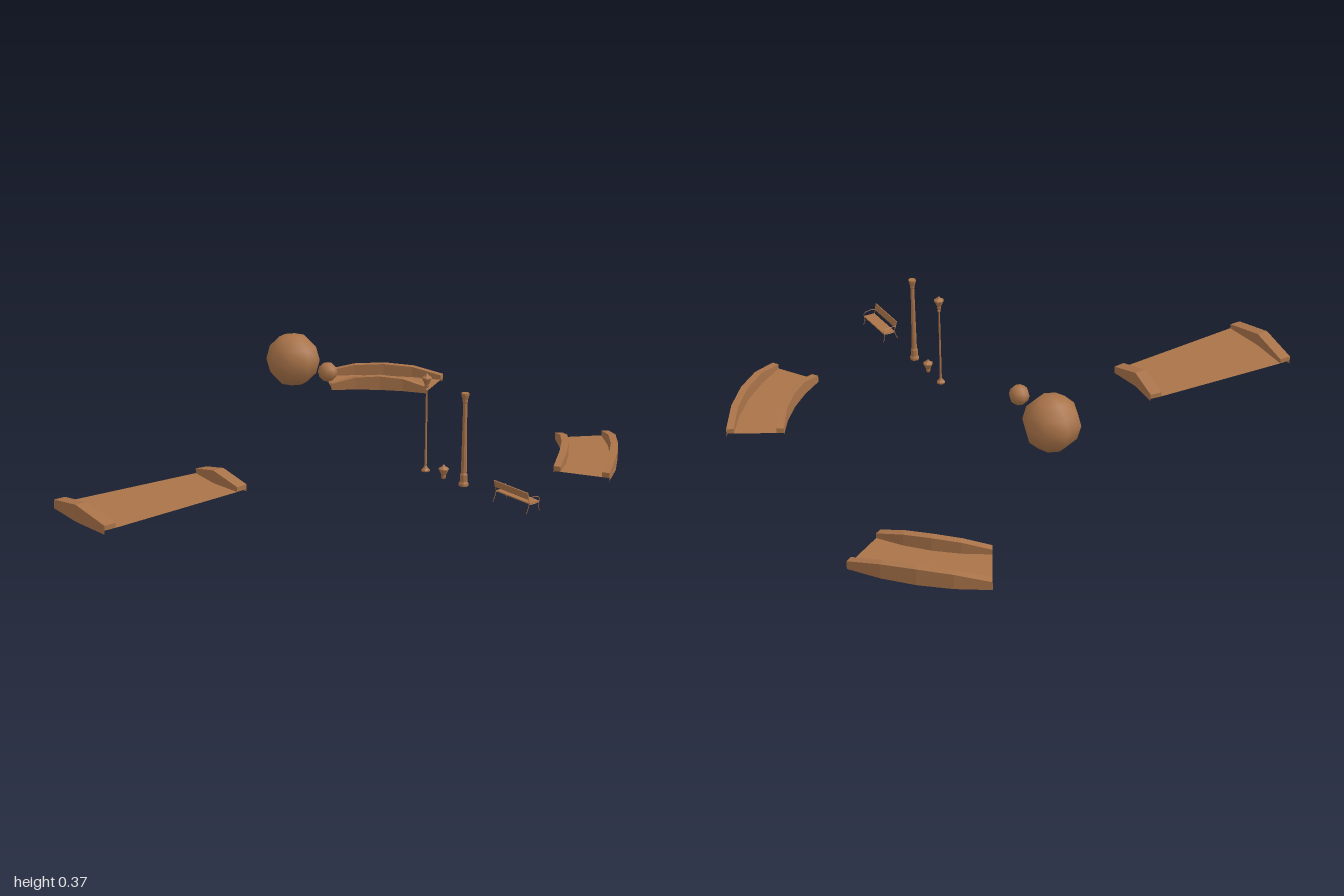
import * as THREE from 'three';

const material = new THREE.MeshStandardMaterial({ color: 0xa97349, side: THREE.DoubleSide });
const flatMaterial = material.clone();
flatMaterial.flatShading = true;

// All bridge sections are arcs around this point
const CX = 0.2, CZ = -0.05;
const rad = THREE.MathUtils.degToRad;

function add(parent, name, geometry, x = 0, y = 0, z = 0, mat = flatMaterial) {
  const mesh = new THREE.Mesh(geometry, mat);
  mesh.name = name;
  mesh.position.set(x, y, z);
  parent.add(mesh);
  return mesh;
}

// Arc of deck with a raised parapet on each side, swept through the given heights
function bridgeGeometry({ angle, rIn, rOut, halfIn, halfOut, wall, deck, heights }) {
  const positions = [];
  const steps = heights.length - 1;
  const point = (i, r, y) => {
    const half = THREE.MathUtils.mapLinear(r, rIn, rOut, halfIn, halfOut);
    const a = rad(angle + half * (2 * i / steps - 1));
    return [CX + r * Math.cos(a), y, CZ + r * Math.sin(a)];
  };
  const section = (i) => {
    const h = heights[i];
    return [
      [rIn, 0.005], [rIn, h], [rIn + wall, h], [rIn + wall, deck],
      [rOut - wall, deck], [rOut - wall, h], [rOut, h], [rOut, 0],
    ].map(([r, y]) => point(i, r, y));
  };
  const quad = (a, b, c, d) => positions.push(...a, ...b, ...c, ...a, ...c, ...d);

  for (let i = 0; i < steps; i++) {
    const s = section(i), t = section(i + 1);
    for (let j = 0; j < s.length - 1; j++) quad(s[j], t[j], t[j + 1], s[j + 1]);
  }
  // Parapet ends
  for (const i of [0, steps]) {
    for (const r of [rIn, rOut - wall]) {
      const corners = [
        point(i, r, deck), point(i, r + wall, deck),
        point(i, r + wall, heights[i]), point(i, r, heights[i]),
      ];
      quad(...(i === 0 ? corners.reverse() : corners));
    }
  }
  const geometry = new THREE.BufferGeometry();
  geometry.setAttribute('position', new THREE.Float32BufferAttribute(positions, 3));
  geometry.computeVertexNormals();
  return geometry;
}

function lathe(profile, sides = 8) {
  return new THREE.LatheGeometry(profile.map(([r, y]) => new THREE.Vector2(r, y)), sides);
}

// Lantern: narrow foot, flaring glass and pointed cap
const lanternProfile = [
  [0, 0], [0.006, 0], [0.008, 0.006], [0.008, 0.013], [0.016, 0.032],
  [0.018, 0.033], [0.018, 0.037], [0.006, 0.045], [0.003, 0.05], [0, 0.052],
];

function createBench() {
  const bench = new THREE.Group();
  bench.name = 'bench';
  const length = 0.163;
  add(bench, 'seat', new THREE.BoxGeometry(0.044, 0.004, length), 0.006, 0.053, 0);
  const back = add(bench, 'backrest', new THREE.BoxGeometry(0.004, 0.025, length), -0.023, 0.081, 0);
  back.rotation.z = 0.25;

  // Bent iron frames at both ends
  const bars = {
    backLeg: [[-0.03, 0.019], [-0.022, 0.035], [-0.017, 0.052], [-0.021, 0.072], [-0.027, 0.093]],
    frontLeg: [[0.032, 0.019], [0.025, 0.035], [0.027, 0.052], [0.029, 0.064], [0.024, 0.07]],
    armrest: [[-0.02, 0.072], [0, 0.074], [0.024, 0.07]],
    seatRail: [[-0.017, 0.05], [0.004, 0.049], [0.027, 0.051]],
  };
  for (const side of [-1, 1]) {
    for (const [name, pts] of Object.entries(bars)) {
      const curve = new THREE.CatmullRomCurve3(pts.map(([x, y]) => new THREE.Vector3(x, y, 0)));
      add(bench, name, new THREE.TubeGeometry(curve, 6, 0.0013, 4), 0, 0, side * 0.08);
    }
  }
  return bench;
}

export function createModel() {
  const model = new THREE.Group();
  model.name = 'parkSet';

  // Wide bridge section with gabled parapets
  add(model, 'wideBridge', bridgeGeometry({
    angle: 180, rIn: 0.605, rOut: 1.197, halfIn: 11.2, halfOut: 7.5,
    wall: 0.043, deck: 0.014, heights: [0.031, 0.06, 0.031],
  }));

  // Matching pair of narrow curved bridges
  for (const side of [1, -1]) {
    add(model, side > 0 ? 'frontCurvedBridge' : 'backCurvedBridge', bridgeGeometry({
      angle: 45 * side, rIn: 0.72, rOut: 0.92, halfIn: 15, halfOut: 15,
      wall: 0.026, deck: 0.012, heights: [0.03, 0.054, 0.06, 0.054, 0.03],
    }));
  }

  // Round foliage balls
  add(model, 'largeBall', new THREE.SphereGeometry(0.1, 8, 6), 0.195, 0.25, -0.443, material);
  add(model, 'smallBall', new THREE.SphereGeometry(0.036, 8, 6), 0.195, 0.25, -0.235, material);

  // Slim street lamp
  const lamp = new THREE.Group();
  lamp.name = 'streetLamp';
  lamp.position.set(0.195, 0, 0.315);
  add(lamp, 'lampPole', lathe([
    [0, 0.02], [0.015, 0.02], [0.015, 0.025], [0.008, 0.032], [0.004, 0.04],
    [0.003, 0.309], [0.006, 0.313], [0.006, 0.317], [0.003, 0.321], [0.003, 0.328],
  ]));
  add(lamp, 'lampHead', lathe(lanternProfile), 0, 0.322, 0);
  model.add(lamp);

  // Loose lantern
  add(model, 'lantern', lathe(lanternProfile), 0.195, 0.018, 0.41);

  // Column with flared base and capital
  add(model, 'column', lathe([
    [0, 0.022], [0.017, 0.022], [0.017, 0.03], [0.013, 0.038], [0.013, 0.062],
    [0.01, 0.068], [0.007, 0.317], [0.009, 0.32], [0.009, 0.328], [0.014, 0.345],
    [0.014, 0.351], [0, 0.351],
  ]), 0.195, 0, 0.513);

  const bench = createBench();
  bench.position.set(0.203, 0, 0.765);
  model.add(bench);

  return model;
}
